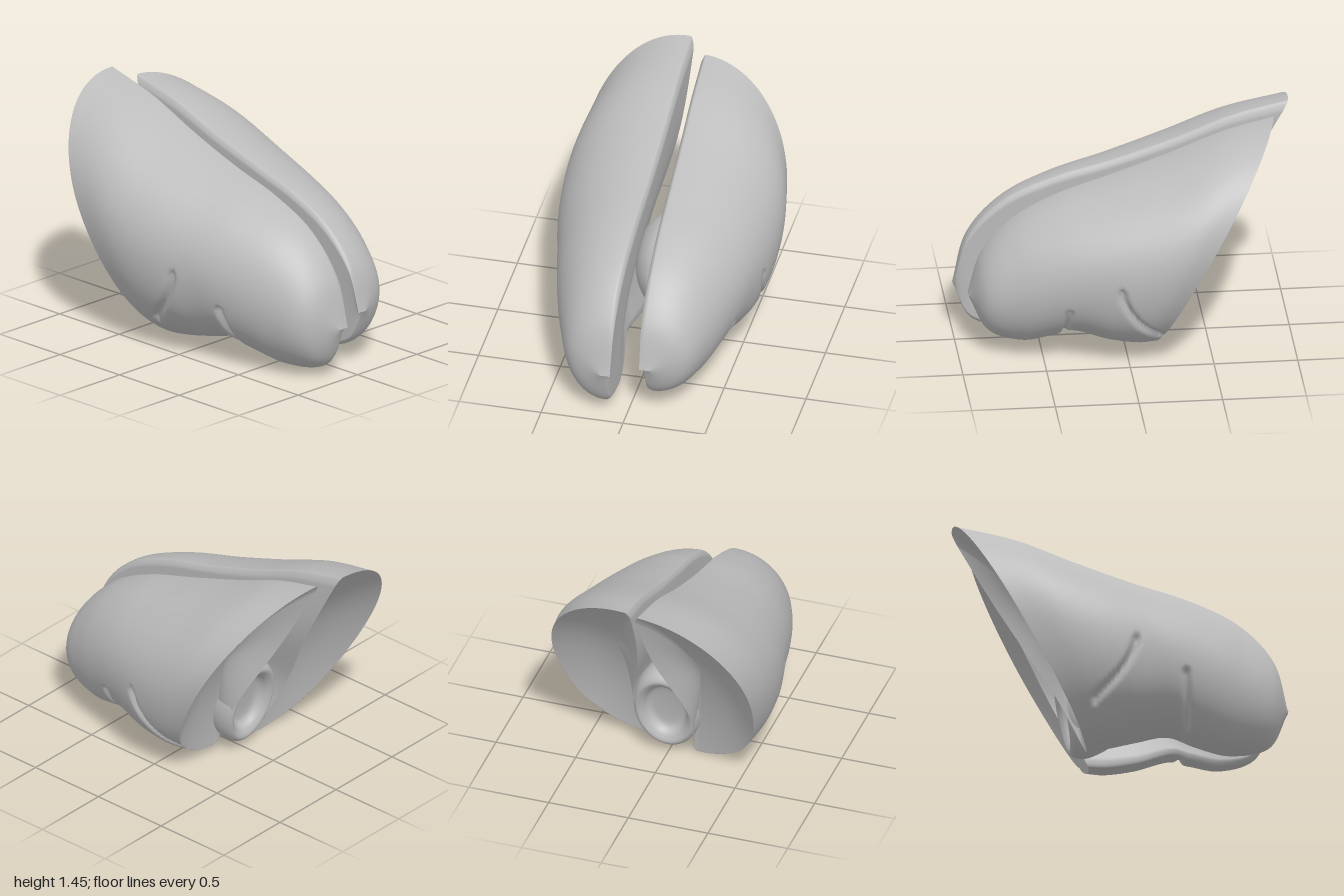
import * as THREE from 'three';

const tissue = new THREE.MeshStandardMaterial({ color: 0xbcbcbc });
tissue.name = 'grey tissue';

const spline = (pts) => new THREE.CatmullRomCurve3(
  pts.map(([z, y, x = 0]) => new THREE.Vector3(x, y, z)), false, 'catmullrom', 0.5);

// Fissures between the lobes, as points in side projection
const fissures = [
  spline([[0.07, 0.6], [0.04, 0.47], [-0.04, 0.33], [-0.18, 0.19]]),
  spline([[0.36, 0.41], [0.37, 0.3], [0.38, 0.12]]),
].map((c) => c.getPoints(60));

function fissureDepth(z, y) {
  let best = 9;
  for (const line of fissures) {
    line.forEach((p, i) => {
      const taper = i < 10 ? (10 - i) * 0.003 : 0;
      best = Math.min(best, Math.hypot(p.z - z, p.y - y) + taper);
    });
  }
  return Math.exp(-((best / 0.017) ** 2));
}

// One half: slanted D-shaped slices from the hollow base to the blunt front tip
function makeHalf(name, side, { dorsal, ventral, bow }) {
  const top = spline(dorsal);
  const low = spline(ventral);
  const outer = spline([0.65, 0.68, 0.66, 0.6, 0.54, 0.46, 0.35, 0.14].map((x, i) => [i, 0, x]));
  const SLICES = 110, AROUND = 144, DISH = 24;

  const rimPoint = (s, j) => {
    const a = (j / AROUND) * Math.PI * 2;
    const sin = Math.abs(Math.sin(a));
    const t = (1 - Math.cos(a)) / 2;
    const p = top.getPoint(s).lerp(low.getPoint(s), t);
    // inner wall, hollowed around the central body
    const hollow = 0.13 * Math.exp(-(((t - 0.75) / 0.3) ** 2))
      * (1 - THREE.MathUtils.smoothstep(s, 0.3, 0.75));
    const wall = 0.03 + 0.05 * s + 0.035 * t + hollow;
    const edge = wall + 0.03;
    if (a < Math.PI) {
      p.x = edge + (outer.getPoint(s).x - edge) * sin;
      p.z += bow * sin * (1 - s) ** 3;
      const cut = fissureDepth(p.z, p.y) * Math.min(1, sin * 2);
      p.x -= 0.035 * cut;
      p.y += 0.02 * cut;
    } else {
      p.x = edge - 0.03 * Math.min(1, sin * 2.5);
    }
    return p;
  };

  const rows = [];
  const rim = Array.from({ length: AROUND }, (_, j) => rimPoint(0, j));
  const centre = rim.reduce((c, p) => c.addScaledVector(p, 1 / AROUND), new THREE.Vector3());
  // concave base
  for (let k = 0; k < DISH; k++) {
    const f = Math.sin((k / DISH) * Math.PI / 2);
    const depth = 0.15 * (1 - f * f);
    rows.push(rim.map((p) => {
      const q = centre.clone().lerp(p, f);
      q.z += 0.88 * depth;
      q.y += 0.48 * depth;
      return q;
    }));
  }
  // outer body
  for (let i = 0; i <= SLICES; i++) {
    const s = 1 - (1 - i / SLICES) ** 1.25;
    rows.push(Array.from({ length: AROUND }, (_, j) => rimPoint(s, j)));
  }

  const positions = [];
  const index = [];
  rows.forEach((row, i) => row.forEach((p, j) => {
    positions.push(side * p.x, p.y, p.z);
    if (i === rows.length - 1) return;
    const n = (j + 1) % AROUND;
    const a = i * AROUND + j, b = a + AROUND, c = i * AROUND + n, d = c + AROUND;
    if (side > 0) index.push(a, b, c, c, b, d);
    else index.push(a, c, b, c, d, b);
  }));
  const geometry = new THREE.BufferGeometry();
  geometry.setAttribute('position', new THREE.Float32BufferAttribute(positions, 3));
  geometry.setIndex(index);
  geometry.computeVertexNormals();
  const mesh = new THREE.Mesh(geometry, tissue);
  mesh.name = name;
  return mesh;
}

// Rounded central body with a dished, rimmed back face
function makeCentralBody() {
  const profile = new THREE.SplineCurve([
    [0, -0.38], [0.12, -0.35], [0.22, -0.25], [0.275, -0.1], [0.27, -0.01],
    [0.235, 0.03], [0.19, 0.01], [0.14, -0.04], [0, -0.05],
  ].map(([r, h]) => new THREE.Vector2(r, h))).getPoints(64);
  profile.forEach((p) => { p.x = Math.max(0, p.x); });
  const mesh = new THREE.Mesh(new THREE.LatheGeometry(profile, 64), tissue);
  mesh.name = 'centralBody';
  mesh.scale.set(0.75, 1, 1.07);
  mesh.rotation.x = -(Math.PI / 2 + 0.2);
  mesh.position.set(0, 0.33, -0.31);
  return mesh;
}

export function createModel() {
  const group = new THREE.Group();
  group.name = 'pairedLobes';
  group.add(
    makeHalf('leftLobe', 1, {
      dorsal: [[-0.9, 1.4], [-0.6, 1.325], [-0.25, 1.19], [0.1, 1.07], [0.4, 0.97], [0.66, 0.83], [0.85, 0.62], [0.93, 0.35]],
      ventral: [[-0.17, 0.05], [-0.05, 0.055], [0.12, 0.09], [0.32, 0.15], [0.44, 0.11], [0.62, 0.07], [0.82, 0.14], [0.93, 0.35]],
      bow: 0.07,
    }),
    makeHalf('rightLobe', -1, {
      dorsal: [[-1, 1.45], [-0.65, 1.36], [-0.3, 1.22], [0.05, 1.1], [0.4, 1.0], [0.7, 0.86], [0.91, 0.63], [1, 0.32]],
      ventral: [[-0.2, 0], [-0.06, 0.03], [0.1, 0.07], [0.28, 0.11], [0.45, 0.06], [0.66, 0.02], [0.89, 0.08], [1, 0.32]],
      bow: -0.06,
    }),
    makeCentralBody(),
  );
  return group;
}
